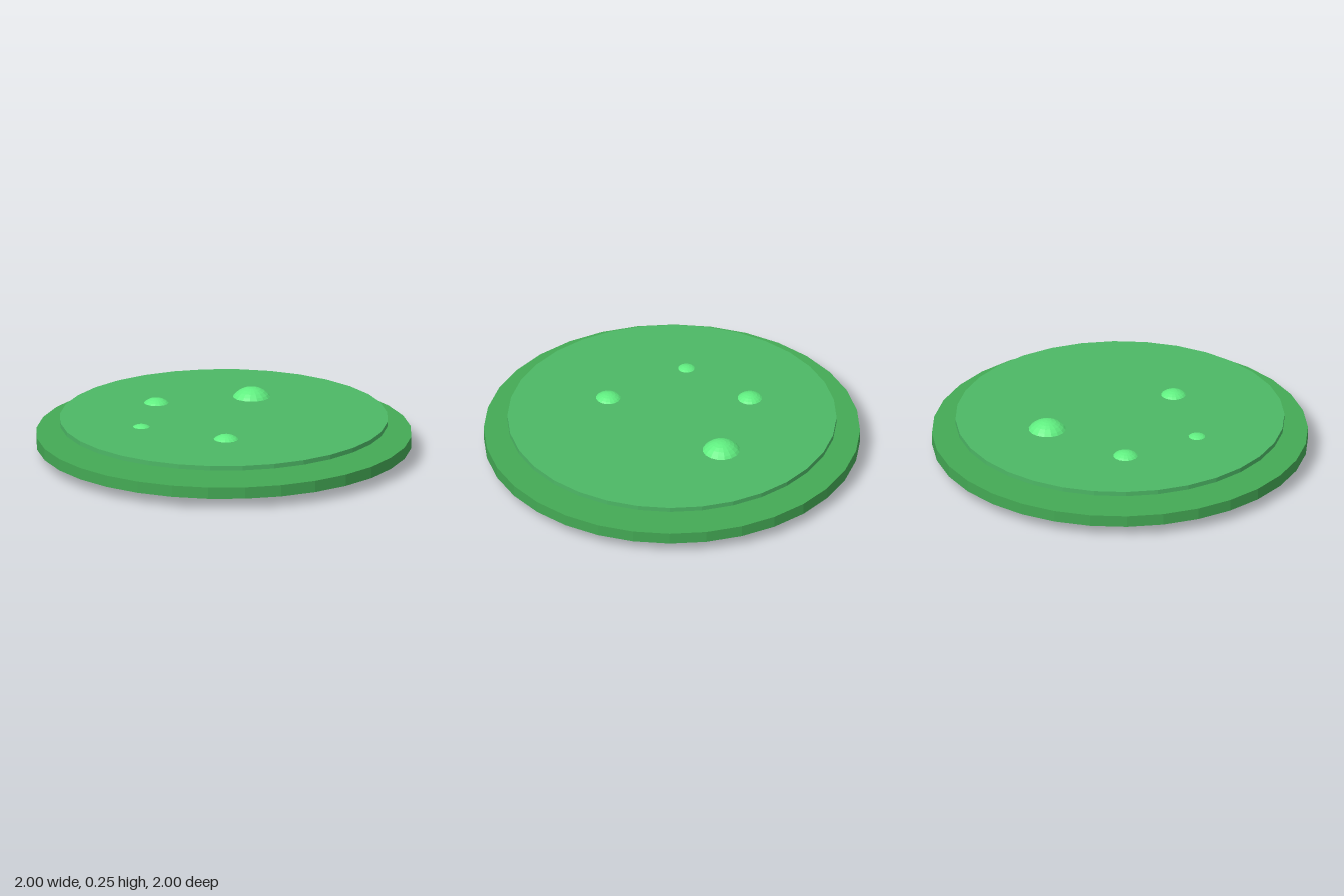
import * as THREE from 'three';

export function createModel() {
  const group = new THREE.Group();
  const add = (name, geometry, color, x, y, z) => {
    const material = new THREE.MeshStandardMaterial({ color, flatShading: true });
    const mesh = new THREE.Mesh(geometry, material);
    mesh.name = name;
    mesh.position.set(x, y, z);
    group.add(mesh);
  };

  // Thick lower disc and thin upper disc, with a gap between them
  add('baseDisc', new THREE.CylinderGeometry(1, 1, 0.0625, 32), 0x44aa55, 0, 0.0875, 0);
  add('topDisc', new THREE.CylinderGeometry(0.875, 0.875, 0.025, 32), 0x4db866, 0, 0.1875, 0);

  // Bubbles sharing one centre height, poking through the discs: x, z, radius
  const bubbles = [
    [0.36, -0.2, 0.125],
    [-0.24, 0.3, 0.1],
    [-0.1, -0.44, 0.1],
    [-0.44, -0.16, 0.0875],
    [0.1, 0.4, 0.075],
    [0.5, 0.105, 0.0625],
    [0.1, -0.36, 0.05],
  ];
  bubbles.forEach(([x, z, r], i) => {
    add(`bubble${i + 1}`, new THREE.SphereGeometry(r, 16, 16), 0x60ee80, x, 0.125, z);
  });

  return group;
}
